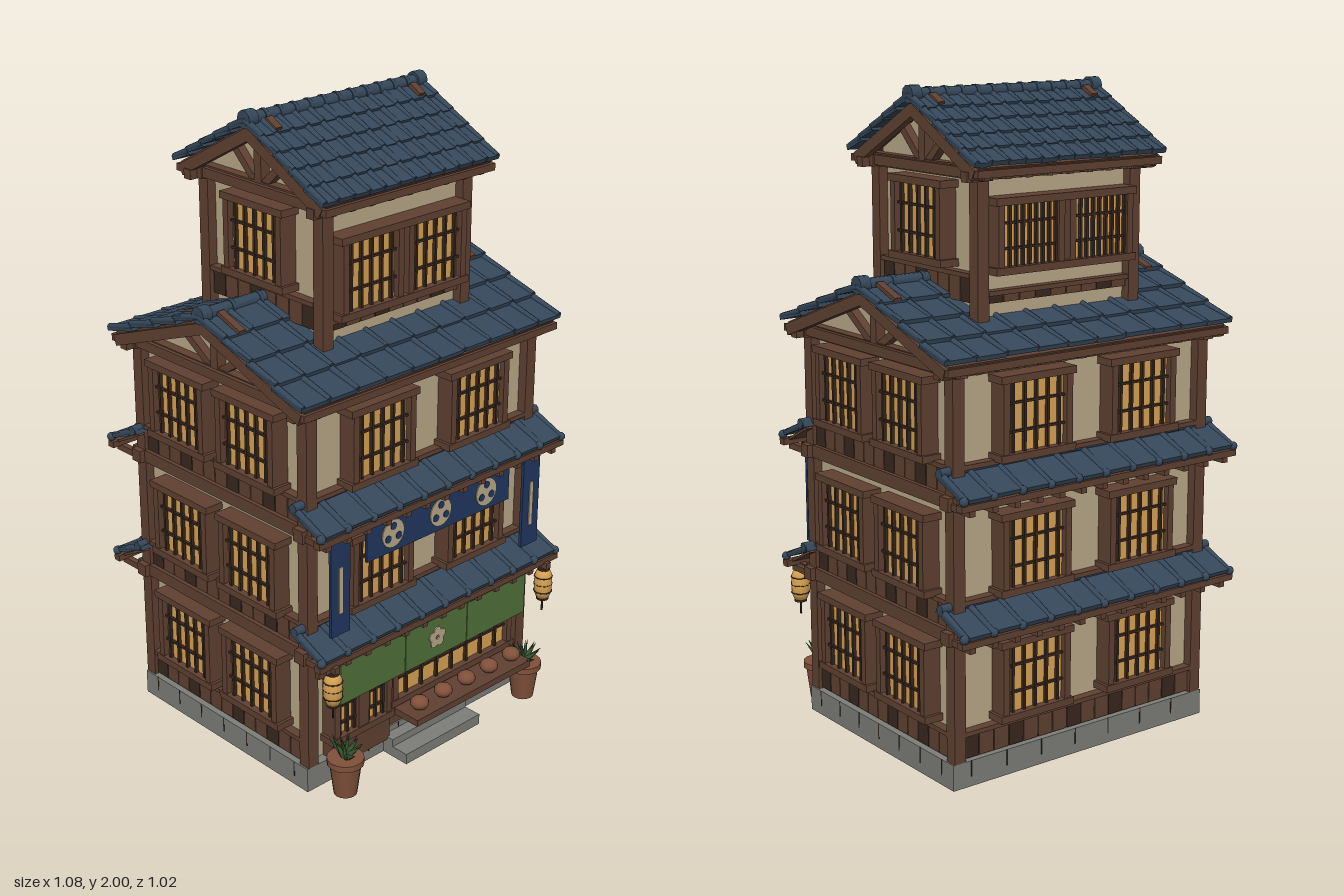
import * as THREE from 'three';

const mat = (name, color) => Object.assign(new THREE.MeshStandardMaterial({ color }), { name });
const M = {
  wood: mat('brown timber', 0x5f4031), dark: mat('dark timber', 0x38271e),
  plaster: mat('cream plaster', 0xb8a888), glow: mat('amber paper', 0xd9a353),
  tile: mat('slate blue tile', 0x35475a), stone: mat('grey stone', 0x7c7d78),
  green: mat('green cloth', 0x4f6f38), navy: mat('navy cloth', 0x20365f),
  clay: mat('clay', 0x80503a), leaf: mat('leaf green', 0x3c5c35),
};

function group(parent, name, x = 0, y = 0, z = 0) {
  const g = new THREE.Group();
  g.name = name;
  g.position.set(x, y, z);
  parent.add(g);
  return g;
}
function add(parent, name, geo, material, x, y, z) {
  const m = new THREE.Mesh(geo, material);
  m.name = name;
  m.position.set(x, y, z);
  parent.add(m);
  return m;
}
const box = (p, name, m, w, h, d, x, y, z) => add(p, name, new THREE.BoxGeometry(w, h, d), m, x, y, z);
const ball = (p, name, m, r, x, y, z) => add(p, name, new THREE.SphereGeometry(r, 12, 8), m, x, y, z);
// rod along x
function rod(p, name, m, r, len, x, y, z) {
  const c = add(p, name, new THREE.CylinderGeometry(r, r, len, 10), m, x, y, z);
  c.rotation.z = Math.PI / 2;
  return c;
}
// flat disc facing +z
function disc(p, name, m, r, x, y, z) {
  const c = add(p, name, new THREE.CylinderGeometry(r, r, 0.006, 20), m, x, y, z);
  c.rotation.x = Math.PI / 2;
  return c;
}

// Lattice window standing 0.06 proud of a wall at local z = 0
function latticeWindow(p, x, y, w, h, bars = 5, rails = 2) {
  const g = group(p, 'latticeWindow', x, y);
  const f = 0.022;
  box(g, 'backing', M.dark, w - 0.01, h - 0.01, 0.04, 0, 0, 0.015);
  box(g, 'pane', M.glow, w - f, h - f, 0.006, 0, 0, 0.038);
  for (const s of [-1, 1]) {
    box(g, 'jamb', M.wood, f, h, 0.058, s * (w - f) / 2, 0, 0.031);
    box(g, 'sill', M.wood, w + 0.02, f, 0.064, 0, s * (h - f) / 2, 0.032);
  }
  for (let i = 1; i <= bars; i++)
    box(g, 'bar', M.dark, 0.008, h - f, 0.012, -w / 2 + (w * i) / (bars + 1), 0, 0.046);
  for (let i = 1; i <= rails; i++)
    box(g, 'rail', M.dark, w - f, 0.007, 0.01, 0, -h / 2 + (h * i) / (rails + 1), 0.045);
}

// Row of alternating boards at the foot of a wall
function wainscot(p, w, y, h) {
  const n = Math.round(w / 0.055);
  for (let i = 0; i < n; i++) {
    const tone = (i * 5) % 7 < 2 ? M.dark : M.wood;
    box(p, 'wainscotBoard', tone, w / n - 0.003, h, 0.022, -w / 2 + (w * (i + 0.5)) / n, y + h / 2, 0.008);
  }
  box(p, 'wainscotRail', M.wood, w, 0.014, 0.034, 0, y + h, 0.012);
}

// Plaster block with corner posts and ring beam; returns one group per wall, local +z outward
function storey(p, name, y0, y1, hx, hz) {
  const g = group(p, name);
  box(g, 'plasterWalls', M.plaster, hx * 2, y1 - y0, hz * 2, 0, (y0 + y1) / 2, 0);
  for (const sx of [-1, 1]) {
    for (const sz of [-1, 1])
      box(g, 'cornerPost', M.wood, 0.04, y1 - y0, 0.04, sx * (hx + 0.01), (y0 + y1) / 2, sz * (hz + 0.01));
    box(g, 'sideBeam', M.wood, 0.04, 0.04, hz * 2 + 0.1, sx * (hx + 0.012), y1 - 0.015, 0);
  }
  for (const sz of [-1, 1]) box(g, 'beam', M.wood, hx * 2 + 0.1, 0.04, 0.04, 0, y1 - 0.015, sz * (hz + 0.012));
  return [0, 1, 2, 3].map((i) => {
    const wall = group(g, ['frontWall', 'leftWall', 'backWall', 'rightWall'][i]);
    wall.rotation.y = (i * Math.PI) / 2;
    return group(wall, 'wallFace', 0, 0, i % 2 ? hx : hz);
  });
}

// Staggered tiles lying on local xz, running down +z
function tiles(p, w, len, rows, cols) {
  const tw = w / cols, tl = len / rows;
  for (let r = 0; r < rows; r++) {
    for (let c = 0; c < cols; c++) {
      const lift = ((c * 7 + r * 3) % 4) * 0.0012, x = -w / 2 + tw * (c + 0.5), z = tl * (r + 0.5);
      const t = box(p, 'tile', M.tile, tw - 0.004, 0.014, tl + 0.012, x, 0.004 + lift, z);
      t.rotation.x = -0.1;
    }
    for (let c = 0; c <= cols; c++) {
      const x = THREE.MathUtils.clamp(-w / 2 + tw * c, -w / 2 + 0.01, w / 2 - 0.01);
      const k = add(p, 'tileRoll', new THREE.CylinderGeometry(0.009, 0.011, tl + 0.008, 8), M.tile, x, 0.01, tl * (r + 0.5));
      k.rotation.x = Math.PI / 2 - 0.08;
    }
  }
}

// Gable roof with ridge along x
function gableRoof(p, name, o) {
  const g = group(p, name);
  const a = Math.atan2(o.ridge - o.eave, o.depth), len = Math.hypot(o.ridge - o.eave, o.depth);
  for (const ry of [0, Math.PI]) {
    const half = group(g, 'roofHalf');
    half.rotation.y = ry;
    const slope = group(half, 'roofSlope', 0, o.ridge, 0);
    slope.rotation.x = a;
    box(slope, 'roofBoards', M.wood, o.w - 0.05, 0.012, len, 0, -0.012, len / 2);
    tiles(slope, o.w, len, o.rows, o.cols);
    for (const s of [-1, 1]) {
      box(slope, 'bargeBoard', M.wood, 0.025, 0.035, len, s * (o.w / 2 - 0.025), -0.03, len / 2);
      box(slope, 'exposedRafter', M.wood, 0.024, 0.012, o.patch, s * o.patchX, 0.021, 0.02 + o.patch / 2);
    }
    box(half, 'eaveFascia', M.wood, o.w - 0.03, 0.022, 0.022, 0, o.eave - 0.022, o.depth - 0.004);
    for (let x = -o.w / 2 + 0.06; x < o.w / 2 - 0.03; x += 0.0745)
      box(half, 'rafterEnd', M.wood, 0.02, 0.02, o.depth - o.wallZ, x, o.eave - 0.032, (o.depth + o.wallZ) / 2 - 0.01);
  }
  // gable triangles with king post and struts
  const y0 = o.eave - 0.03, h = o.ridge - 0.02 - y0;
  const tri = new THREE.Shape([[-o.wallZ, 0], [o.wallZ, 0], [o.wallZ, h * (1 - o.wallZ / o.depth)], [0, h - 0.005],
    [-o.wallZ, h * (1 - o.wallZ / o.depth)]].map(([x, y]) => new THREE.Vector2(x, y)));
  for (const s of [-1, 1]) {
    const e = group(g, 'gable', s * o.wallX, y0, 0);
    e.rotation.y = (s * Math.PI) / 2;
    add(e, 'gablePlaster', new THREE.ExtrudeGeometry(tri, { depth: 0.02, bevelEnabled: false }), M.plaster, 0, 0, -0.02);
    box(e, 'tieBeam', M.wood, o.depth * 2 - 0.04, 0.03, 0.05, 0, 0.005, 0.02);
    box(e, 'kingPost', M.wood, 0.03, h, 0.035, 0, h / 2, 0.015);
    for (const q of [-1, 1]) {
      const dx = o.depth * 0.36, dy = h * 0.6;
      const strut = box(e, 'strut', M.wood, 0.024, Math.hypot(dx, dy), 0.028, q * (dx / 2 + 0.008), dy / 2 + 0.008, 0.013);
      strut.rotation.z = -q * Math.atan2(dx, dy);
      box(e, 'purlinEnd', M.wood, 0.03, 0.03, 0.09, q * (o.depth - 0.05), -0.002, 0.03);
    }
  }
  // ridge roll with collars and end caps
  rod(g, 'ridgeRoll', M.tile, 0.02, o.w - 0.02, 0, o.ridge + 0.008, 0);
  for (let i = 0; i <= o.cols; i++)
    rod(g, 'ridgeCollar', M.tile, 0.023, 0.012, -o.w / 2 + 0.02 + ((o.w - 0.04) * i) / o.cols, o.ridge + 0.008, 0);
  for (const s of [-1, 1]) rod(g, 'ridgeCap', M.tile, 0.027, 0.036, s * (o.w / 2 - 0.02), o.ridge + 0.01, 0);
}

// Narrow tiled canopies on front and back
function canopies(p, y) {
  for (const ry of [0, Math.PI]) {
    const g = group(p, 'canopy');
    g.rotation.y = ry;
    const slope = group(g, 'canopySlope', 0, y + 0.095, 0.355);
    slope.rotation.x = 0.48;
    box(slope, 'canopyBoards', M.wood, 1.0, 0.008, 0.13, 0, -0.008, 0.066);
    tiles(slope, 1.03, 0.135, 1, 10);
    rod(slope, 'canopyTopRoll', M.tile, 0.014, 1.03, 0, 0.012, 0.01);
    for (let i = 0; i <= 10; i++) ball(slope, 'tileEnd', M.tile, 0.014, -0.51 + 0.102 * i, 0.012, 0.136);
    box(g, 'canopyFascia', M.wood, 1.04, 0.02, 0.025, 0, y + 0.022, 0.473);
    for (let i = 0; i < 13; i++) box(g, 'canopyRafter', M.wood, 0.02, 0.02, 0.12, -0.48 + 0.08 * i, y + 0.004, 0.42);
  }
}

function lantern(p, x) {
  const g = group(p, 'lantern', x, 0.395, 0.478);
  const prof = [[0.001, -0.05], [0.02, -0.05], [0.028, -0.03], [0.03, 0], [0.028, 0.03], [0.02, 0.05], [0.001, 0.05]];
  add(g, 'lanternPaper', new THREE.LatheGeometry(prof.map(([r, y]) => new THREE.Vector2(r, y)), 14), M.glow, 0, 0, 0);
  for (const y of [-0.026, 0, 0.026]) {
    const ring = add(g, 'lanternHoop', new THREE.TorusGeometry(0.029, 0.0018, 5, 16), M.dark, 0, y, 0);
    ring.rotation.x = Math.PI / 2;
  }
  for (const y of [-0.052, 0.052]) add(g, 'lanternCap', new THREE.CylinderGeometry(0.02, 0.02, 0.01, 12), M.dark, 0, y, 0);
  box(g, 'tassel', M.dark, 0.005, 0.05, 0.005, 0, -0.075, 0);
  box(g, 'lanternBracket', M.wood, 0.02, 0.02, 0.12, 0, 0.068, -0.04);
}

function pottedPlant(p, x) {
  const g = group(p, 'pottedPlant', x, 0, 0.465);
  add(g, 'pot', new THREE.CylinderGeometry(0.05, 0.036, 0.11, 16), M.clay, 0, 0.055, 0);
  add(g, 'potRim', new THREE.CylinderGeometry(0.057, 0.057, 0.02, 16), M.clay, 0, 0.115, 0);
  for (let i = 0; i < 16; i++) {
    const stem = group(g, 'leafStem', 0, 0.122, 0);
    stem.rotation.set(0, i * 2.4, 0.25 + (i % 4) * 0.25);
    const leaf = add(stem, 'leaf', new THREE.ConeGeometry(0.013, 0.08, 5), M.leaf, 0, 0.04, 0);
    leaf.scale.z = 0.5;
  }
}

function shopFront(p) {
  const g = group(p, 'shopFront', 0, 0, 0.355);
  box(g, 'shopPanel', M.wood, 0.56, 0.11, 0.03, 0.12, 0.125, 0.015);
  latticeWindow(g, 0.12, 0.25, 0.54, 0.17, 7, 1);
  // sliding doors
  for (const x of [-0.335, -0.215]) {
    latticeWindow(g, x, 0.255, 0.12, 0.24, 3, 3);
    box(g, 'doorPanel', M.wood, 0.12, 0.1, 0.05, x, 0.1, 0.026);
  }
  box(g, 'lintel', M.wood, 0.9, 0.03, 0.05, 0, 0.4, 0.025);
  box(g, 'counter', M.wood, 0.52, 0.022, 0.15, 0.12, 0.145, 0.08);
  for (let i = 0; i < 5; i++) {
    const x = -0.085 + i * 0.105;
    ball(g, 'bowl', M.clay, 0.03, x, 0.178, 0.11).scale.y = 0.75;
    box(g, 'counterBracket', M.wood, 0.016, 0.03, 0.12, x, 0.12, 0.06);
  }
  // cloth curtain in three panels with a blossom
  for (let i = -1; i <= 1; i++) box(g, 'curtainPanel', M.green, 0.268, 0.14, 0.008, i * 0.271, 0.37, 0.092);
  rod(g, 'curtainRod', M.wood, 0.008, 0.86, 0, 0.442, 0.092);
  for (let i = 0; i < 5; i++) {
    const t = Math.PI / 2 + (i * Math.PI * 2) / 5;
    disc(g, 'blossomPetal', M.plaster, 0.015, Math.cos(t) * 0.021, 0.37 + Math.sin(t) * 0.021, 0.097);
  }
}

function clothBanners(p) {
  const g = group(p, 'clothBanners', 0, 0, 0.45);
  box(g, 'wideBanner', M.navy, 0.61, 0.12, 0.008, 0, 0.8, 0);
  rod(g, 'bannerRod', M.wood, 0.008, 0.92, 0, 0.862, 0);
  for (const x of [-0.2, 0, 0.2]) {
    disc(g, 'roundCrest', M.plaster, 0.045, x, 0.8, 0.004);
    for (let i = 0; i < 3; i++) {
      const t = Math.PI / 2 + (i * Math.PI * 2) / 3;
      disc(g, 'crestDot', M.navy, 0.012, x + Math.cos(t) * 0.025, 0.8 + Math.sin(t) * 0.025, 0.006);
    }
  }
  for (const s of [-1, 1]) {
    box(g, 'tallBanner', M.navy, 0.075, 0.3, 0.01, s * 0.41, 0.695, 0);
    box(g, 'bannerStripe', M.plaster, 0.016, 0.15, 0.004, s * 0.41, 0.69, 0.006);
    box(g, 'bannerArm', M.wood, 0.02, 0.02, 0.1, s * 0.41, 0.862, -0.045);
  }
}

export function createModel() {
  const root = new THREE.Group();
  root.name = 'timberShopHouse';
  const b = group(root, 'building', 0, 0, -0.02);

  // stone footing and doorstep
  box(b, 'footing', M.stone, 0.97, 0.08, 0.78, 0, 0.04, 0);
  box(b, 'lowerStep', M.stone, 0.33, 0.035, 0.12, 0, 0.0175, 0.43);
  box(b, 'upperStep', M.stone, 0.33, 0.06, 0.05, 0, 0.03, 0.405);
  for (let i = -3; i <= 3; i++) {
    for (const s of [-1, 1]) {
      box(b, 'footingJoint', M.dark, 0.004, 0.05, 0.004, i * 0.13 + 0.03, 0.055, s * 0.389);
      box(b, 'footingJoint', M.dark, 0.004, 0.05, 0.004, s * 0.484, 0.055, i * 0.11);
    }
  }

  // three main storeys
  [[0.08, 0.48, 0.305], [0.48, 0.88, 0.69], [0.88, 1.26, 1.09]].forEach(([y0, y1, wy], level) => {
    storey(b, 'storey' + (level + 1), y0, y1, 0.45, 0.36).forEach((wall, i) => {
      const side = i % 2 === 1;
      if (level === 0 && i === 0) return;
      wainscot(wall, side ? 0.7 : 0.88, y0 + 0.005, 0.078);
      for (const s of [-1, 1]) latticeWindow(wall, s * (side ? 0.155 : 0.2), wy, 0.25, 0.25);
    });
  });
  canopies(b, 0.455);
  canopies(b, 0.855);
  gableRoof(b, 'mainRoof', { w: 1.08, depth: 0.425, eave: 1.272, ridge: 1.428, rows: 4, cols: 10, wallX: 0.45, wallZ: 0.37, patch: 0.1, patchX: 0.475 });

  // top room
  storey(b, 'topRoom', 1.3, 1.78, 0.272, 0.238).forEach((wall, i) => {
    const side = i % 2 === 1;
    wainscot(wall, side ? 0.45 : 0.52, 1.39, side ? 0.08 : 0.03);
    if (side) latticeWindow(wall, 0, 1.61, 0.25, 0.25);
    else for (const s of [-1, 1]) latticeWindow(wall, s * 0.13, i ? 1.585 : 1.55, 0.24, i ? 0.22 : 0.25, i ? 9 : 5);
  });
  gableRoof(b, 'topRoof', { w: 0.71, depth: 0.315, eave: 1.79, ridge: 1.962, rows: 5, cols: 12, wallX: 0.272, wallZ: 0.25, patch: 0.05, patchX: 0.285 });

  shopFront(b);
  clothBanners(b);
  for (const s of [-1, 1]) {
    lantern(b, s * 0.463);
    pottedPlant(b, s * 0.4);
  }
  return root;
}
